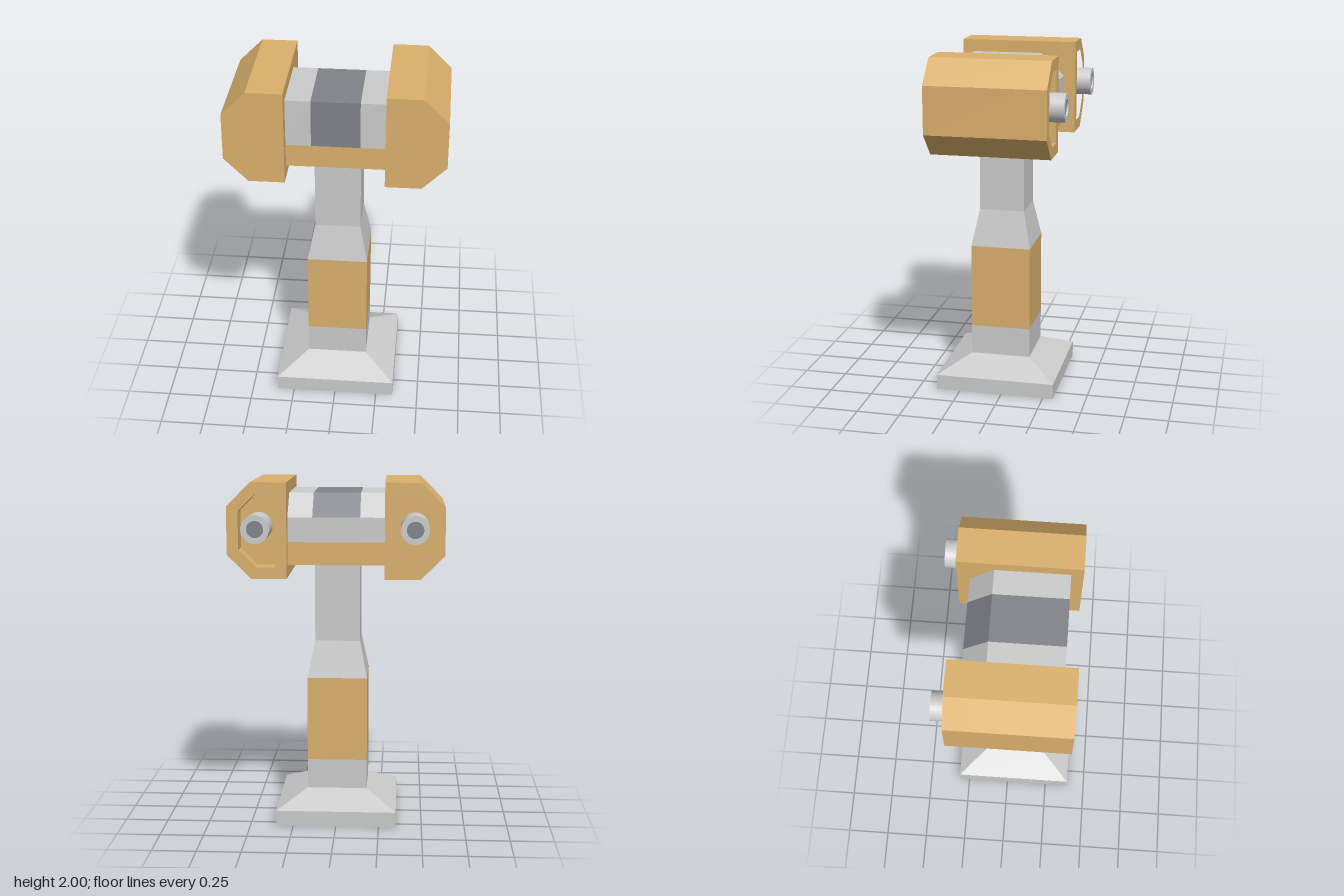
import * as THREE from 'three';

const mat = (color) => new THREE.MeshStandardMaterial({ color, flatShading: true });
const GREY = mat(0xcccccc), YELLOW = mat(0xdab06c), DARK = mat(0x808389);
const SMOOTH = new THREE.MeshStandardMaterial({ color: 0xcccccc });
const POST_Z = 0.04;

function add(parent, name, geometry, material, x = 0, y = 0, z = 0) {
  const mesh = new THREE.Mesh(geometry, material);
  mesh.name = name;
  mesh.position.set(x, y, z);
  parent.add(mesh);
  return mesh;
}

const shapeOf = (pts) => new THREE.Shape(pts.map(([x, y]) => new THREE.Vector2(x, y)));
const extrude = (shape, depth) => new THREE.ExtrudeGeometry(shape, { depth, bevelEnabled: false });

// Square section between two heights, given the half widths at each end
function squareSection(parent, name, y0, half0, y1, half1, material) {
  const geo = new THREE.CylinderGeometry(half1 * Math.SQRT2, half0 * Math.SQRT2, y1 - y0, 4);
  geo.rotateY(Math.PI / 4);
  add(parent, name, geo, material, 0, (y0 + y1) / 2, POST_Z);
}

// Side profile of (z, y) points extruded from x0 to x1
function sideProfile(parent, name, pts, x0, x1, material) {
  const geo = extrude(shapeOf(pts), x1 - x0);
  geo.rotateY(-Math.PI / 2);
  add(parent, name, geo, material, x1);
}

// Outline of a side housing, its outer corners chamfered, inset by d
function housingOutline(s, d) {
  const c = 0.135 - d * 0.586;
  const x0 = 0.275 + d, x1 = 0.612 - d, y0 = 1.46 + d, y1 = 2 - d;
  return [[x0, y0], [x1 - c, y0], [x1, y0 + c], [x1, y1 - c], [x1 - c, y1], [x0, y1]]
    .map(([x, y]) => [s * x, y]);
}

function sideHousing(s) {
  const group = new THREE.Group();
  group.name = s > 0 ? 'leftHousing' : 'rightHousing';
  const back = -0.313, floor = -0.19, front = 0.367;
  add(group, 'housingBody', extrude(shapeOf(housingOutline(s, 0)), front - floor), YELLOW, 0, 0, floor);

  // Rim around the recess at the back
  const rim = shapeOf(housingOutline(s, 0));
  rim.holes.push(shapeOf(housingOutline(s, 0.065)));
  add(group, 'housingRim', extrude(rim, floor - back), YELLOW, 0, 0, back);

  // Exhaust pipe with a dark core
  const ring = new THREE.Shape().absarc(0, 0, 0.08, 0, Math.PI * 2);
  ring.holes.push(new THREE.Path().absarc(0, 0, 0.048, 0, Math.PI * 2));
  const pipe = new THREE.ExtrudeGeometry(ring, { depth: 0.2, bevelEnabled: false, curveSegments: 24 });
  add(group, 'pipe', pipe, SMOOTH, s * 0.444, 1.745, -0.39);
  const core = new THREE.CylinderGeometry(0.048, 0.048, 0.19, 24).rotateX(Math.PI / 2);
  add(group, 'pipeCore', core, DARK, s * 0.444, 1.745, -0.285);
  return group;
}

export function createModel() {
  const model = new THREE.Group();
  model.name = 'hammerTower';

  // Foot and post
  squareSection(model, 'footPlate', 0, 0.35, 0.09, 0.35, GREY);
  squareSection(model, 'footSlope', 0.09, 0.35, 0.18, 0.175, GREY);
  squareSection(model, 'lowerPost', 0.18, 0.175, 0.355, 0.175, GREY);
  squareSection(model, 'postBand', 0.355, 0.175, 0.85, 0.175, YELLOW);
  squareSection(model, 'postTaper', 0.85, 0.175, 1.065, 0.131, GREY);
  squareSection(model, 'upperPost', 1.065, 0.131, 1.54, 0.131, GREY);

  // Central block: yellow sill, grey cheeks and a dark stripe over front, top and slope
  const back = -0.245, kink = 1.8;
  sideProfile(model, 'headSill', [[back, 1.53], [0.3, 1.53], [0.3, 1.66], [back, 1.66]], -0.28, 0.28, YELLOW);
  const cheek = [[back, 1.66], [0.3, 1.66], [0.3, 1.93], [-0.11, 1.93], [back, kink]];
  sideProfile(model, 'headCheekLeft', cheek, 0.135, 0.28, GREY);
  sideProfile(model, 'headCheekRight', cheek, -0.28, -0.135, GREY);
  const stripe = [[-0.2, 1.66], ...cheek.slice(1)];
  sideProfile(model, 'headStripe', stripe, -0.135, 0.135, DARK);
  sideProfile(model, 'headRear', [[back, 1.66], [-0.2, 1.66], [back, kink]], -0.135, 0.135, GREY);

  for (const s of [1, -1]) model.add(sideHousing(s));
  return model;
}
